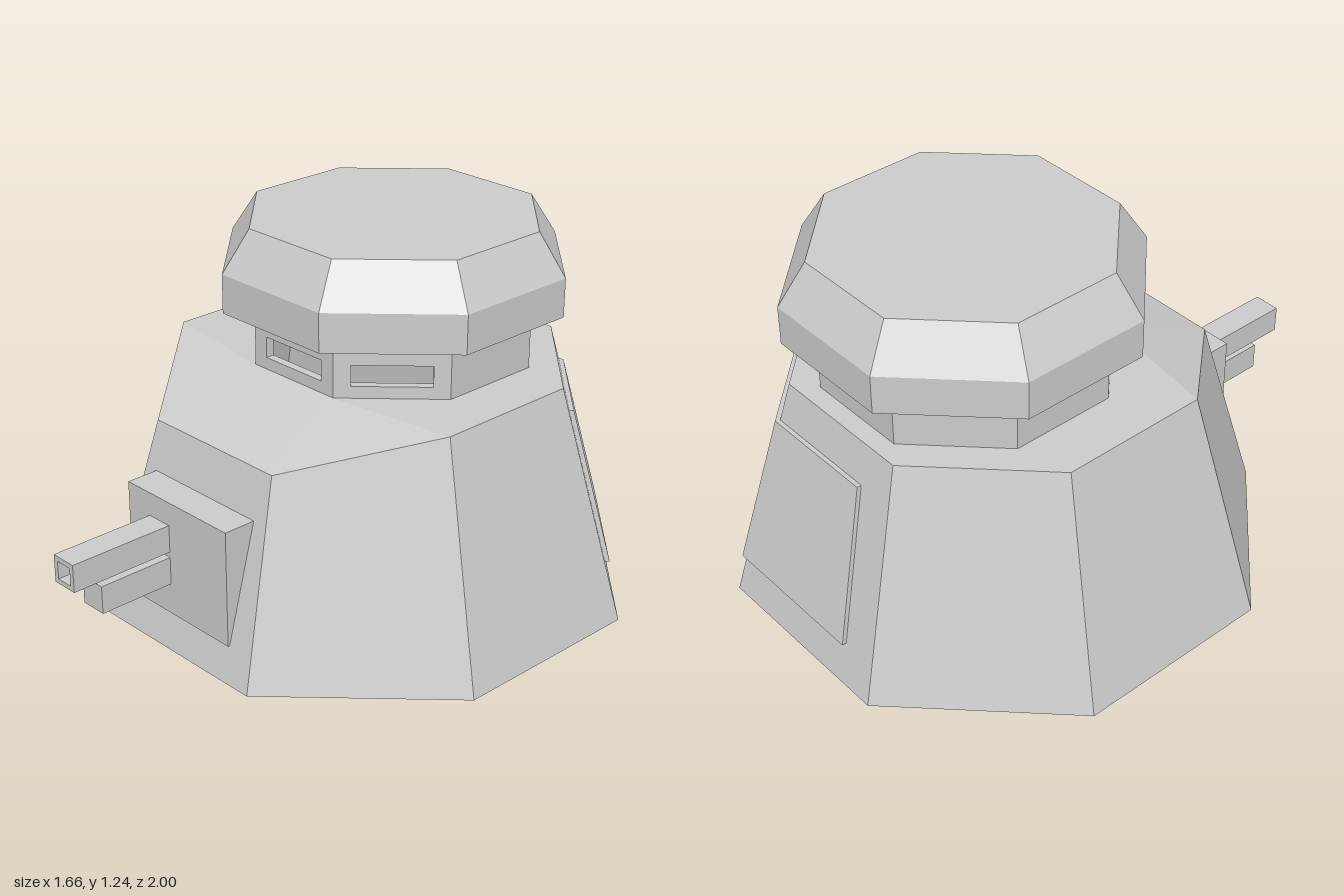
import * as THREE from 'three';

const mat = new THREE.MeshStandardMaterial({ color: 0xcccccc, flatShading: true });

// Mesh from a list of flat convex polygons (corners counter-clockwise from outside)
function polyMesh(name, polys) {
  const pos = [];
  for (const p of polys)
    for (let i = 1; i < p.length - 1; i++) pos.push(...p[0], ...p[i], ...p[i + 1]);
  const geo = new THREE.BufferGeometry();
  geo.setAttribute('position', new THREE.Float32BufferAttribute(pos, 3));
  geo.computeVertexNormals();
  return named(name, geo);
}

function named(name, geo) {
  const mesh = new THREE.Mesh(geo, mat);
  mesh.name = name;
  return mesh;
}

// Octagon with apothem r; points 0 and 1 are the front edge
function octagon(r, y, cz) {
  const R = r / Math.cos(Math.PI / 8);
  return Array.from({ length: 8 }, (_, i) => {
    const a = (i - 0.5) * Math.PI / 4;
    return [R * Math.sin(a), y, cz + R * Math.cos(a)];
  });
}

// Quads joining successive rings
function loft(rings) {
  const out = [];
  for (let k = 0; k < rings.length - 1; k++) {
    const a = rings[k], b = rings[k + 1], n = a.length;
    for (let i = 0; i < n; i++) {
      const j = (i + 1) % n;
      out.push([a[i], a[j], b[j], b[i]]);
    }
  }
  return out;
}

function box(name, x0, x1, y0, y1, z0, z1) {
  const geo = new THREE.BoxGeometry(x1 - x0, y1 - y0, z1 - z0);
  geo.translate((x0 + x1) / 2, (y0 + y1) / 2, (z0 + z1) / 2);
  return named(name, geo);
}

// Rectangle outline, optionally with a rectangular hole, extruded along z
function plate(x0, x1, y0, y1, depth, hole) {
  const path = (P, a, b, c, d) => {
    const p = new P();
    p.moveTo(a, c); p.lineTo(b, c); p.lineTo(b, d); p.lineTo(a, d); p.closePath();
    return p;
  };
  const shape = path(THREE.Shape, x0, x1, y0, y1);
  if (hole) shape.holes.push(path(THREE.Path, ...hole));
  return new THREE.ExtrudeGeometry(shape, { depth, bevelEnabled: false });
}

const BASE_Z = -0.17, TURRET_Z = -0.29, SLOPE = 0.27;

// Thin tapered shell with a bottom lip, a roof sloping down at the front
// and an opening under the turret
function makeBase() {
  const shell = (t, yBottom) => {
    const ring = (y) => octagon(0.83 - t - SLOPE * y, y, BASE_Z);
    const top = ring(0.78 - t);
    [top[0], top[1]] = ring(0.66 - t);
    const L = [-0.18, 0.78 - t, 0.15], R = [0.18, 0.78 - t, 0.15];
    return {
      bottom: ring(yBottom),
      top,
      flat: [L, R, ...top.slice(2)],
      slope: [[top[0], top[1], R, L], [top[1], top[2], R], [top[7], top[0], L]],
      hole: octagon(0.412, 0.78 - t, TURRET_Z),
    };
  };
  const outer = shell(0, 0), inner = shell(0.012, 0.02);
  const lip = [0.02, 0].map((y) => octagon(0.615, y, BASE_Z));
  return polyMesh('base', [
    ...loft([inner.top, inner.bottom, ...lip, outer.bottom, outer.top]),
    ...loft([outer.flat, outer.hole, inner.hole, inner.flat]),
    ...outer.slope,
    ...inner.slope.map((p) => p.reverse()),
  ]);
}

// Thin hatch folded round the back corner on the +x side
function makeHatch() {
  const section = (y, zEnd, xEnd) => {
    const line = (offset) => {
      const r = 0.83 - SLOPE * y + offset;
      const z = zEnd - offset * Math.SQRT1_2;
      const xDiag = Math.SQRT2 * r - (BASE_Z - z);
      return [[xDiag, y, z], [r * Math.tan(Math.PI / 8), y, BASE_Z - r], [xEnd, y, BASE_Z - r]];
    };
    return [...line(0.015), ...line(-0.005).reverse()];
  };
  const b = section(0.135, -0.59, -0.2), t = section(0.65, -0.535, -0.14);
  const polys = loft([b, t]);
  polys.push([t[0], t[1], t[4], t[5]], [t[1], t[2], t[3], t[4]]);
  polys.push([b[5], b[4], b[1], b[0]], [b[4], b[3], b[2], b[1]]);
  return polyMesh('rearHatch', polys);
}

// Ring of wall panels with viewing slits in the three front ones
function makeTurretWall() {
  const group = new THREE.Group();
  group.name = 'turretWall';
  const half = 0.437 * Math.tan(Math.PI / 8);
  for (let i = 0; i < 8; i++) {
    const slit = i <= 1 || i === 7;
    const geo = plate(-half, half, 0.78, 0.97, 0.03, slit && [-0.127, 0.127, 0.82, 0.89]);
    geo.translate(0, 0, 0.407);
    const panel = named(slit ? 'slitPanel' : 'wallPanel', geo);
    panel.rotation.y = i * Math.PI / 4;
    group.add(panel);
  }
  group.position.z = TURRET_Z;
  return group;
}

// Overhanging cap with a bevelled upper edge
function makeCap() {
  const rings = [[0.535, 0.97], [0.535, 1.1], [0.45, 1.24]].map(([r, y]) => octagon(r, y, TURRET_Z));
  return polyMesh('turretCap', [...loft(rings), rings[2], [...rings[0]].reverse()]);
}

// Wedge mount on the sloping wall, a hollow-tipped barrel that reaches inside,
// and a shorter solid barrel below it
function makeGun() {
  const group = new THREE.Group();
  group.name = 'gun';
  const [low, high] = [0.115, 0.508].map((y) => {
    const back = 0.655 - SLOPE * y;
    return [[-0.235, y, 0.635], [0.232, y, 0.635], [0.232, y, back], [-0.235, y, back]];
  });
  const tip = plate(-0.132, -0.038, 0.335, 0.428, 0.1, [-0.115, -0.055, 0.351, 0.411]);
  tip.translate(0, 0, 0.9);
  group.add(
    polyMesh('gunMount', [...loft([low, high]), high, [...low].reverse()]),
    box('upperBarrel', -0.132, -0.038, 0.335, 0.428, 0.374, 0.9),
    named('barrelTip', tip),
    box('lowerBarrel', -0.132, -0.038, 0.222, 0.316, 0.61, 0.9));
  return group;
}

export function createModel() {
  const model = new THREE.Group();
  model.name = 'bunker';
  model.add(makeBase(), makeHatch(), makeTurretWall(), makeCap(), makeGun());
  return model;
}
